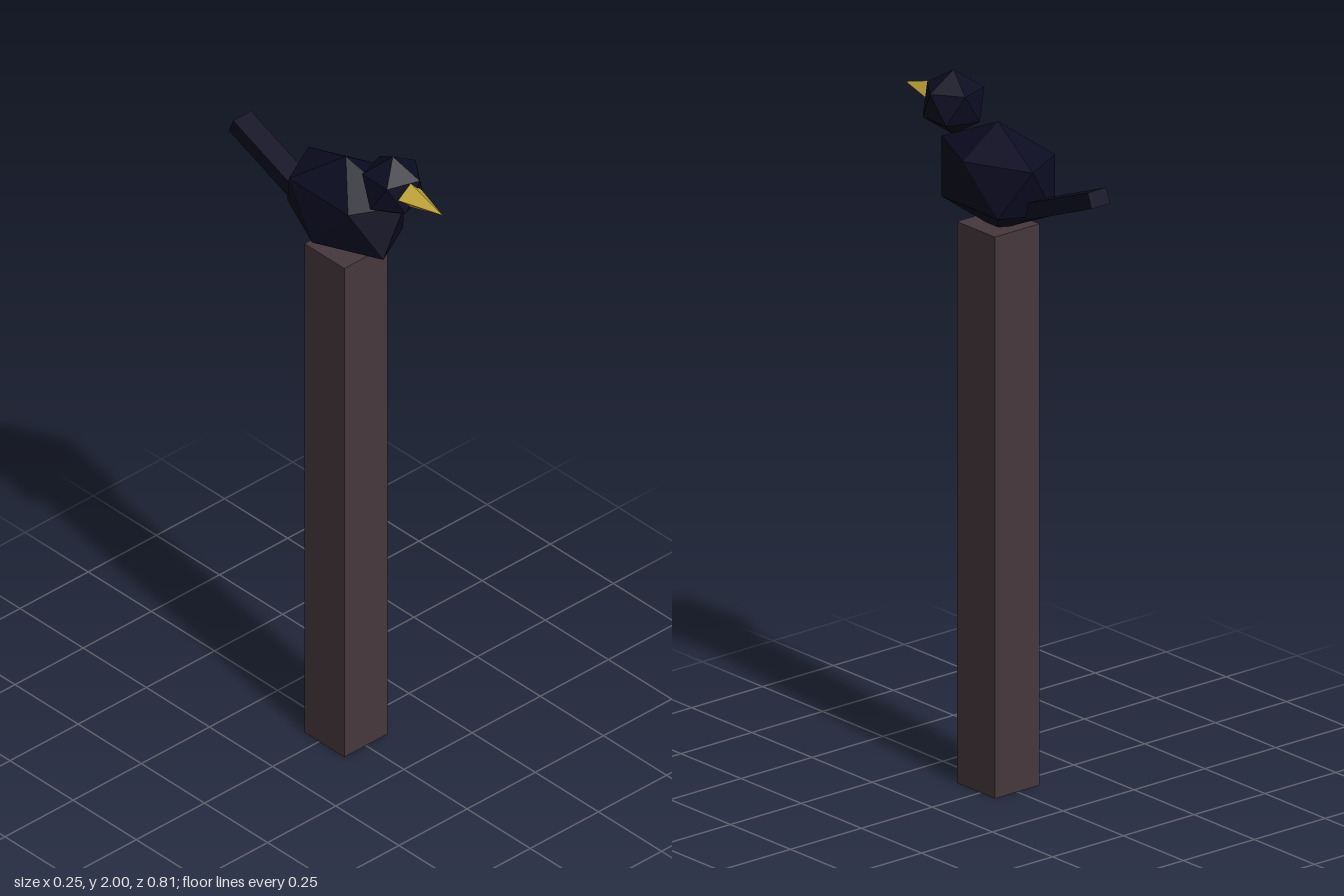
import * as THREE from 'three';

const flat = (name, color) => {
  const m = new THREE.MeshStandardMaterial({ color, flatShading: true });
  m.name = name;
  return m;
};

// Icosahedron standing on a corner, with an upper-ring corner towards +x
function facetedBall(rx, ry, rz) {
  const g = new THREE.IcosahedronGeometry(1, 0);
  g.rotateZ(-Math.atan(2 / (1 + Math.sqrt(5))));
  g.scale(rx, ry, rz);
  g.computeVertexNormals();
  return g;
}

export function createModel() {
  const model = new THREE.Group();
  model.name = 'birdOnPost';
  const wood = flat('post brown', 0x46383d);
  const feather = flat('feather navy', 0x0c0c22);
  const horn = flat('beak yellow', 0xc8aa3c);

  const add = (name, geometry, material, x, y, z) => {
    const mesh = new THREE.Mesh(geometry, material);
    mesh.name = name;
    mesh.position.set(x, y, z);
    model.add(mesh);
    return mesh;
  };

  // Square post
  add('post', new THREE.BoxGeometry(0.158, 1.613, 0.158), wood, 0, 0.8065, 0.02);

  // Body and head
  add('body', facetedBall(0.139, 0.155, 0.223), feather, 0, 1.749, 0.02);
  add('head', facetedBall(0.093, 0.093, 0.093), feather, 0, 1.907, 0.206);

  // Four-sided beak pointing forwards
  const beak = new THREE.ConeGeometry(0.041, 0.133, 4);
  beak.rotateX(Math.PI / 2);
  add('beak', beak, horn, 0, 1.909, 0.3385);

  // Tail: a flat bar rising backwards from the body
  const tail = new THREE.BoxGeometry(0.066, 0.045, 0.32);
  tail.translate(0, 0, 0.16);
  add('tail', tail, feather, 0, 1.803, -0.399).rotation.x = THREE.MathUtils.degToRad(22);

  return model;
}
